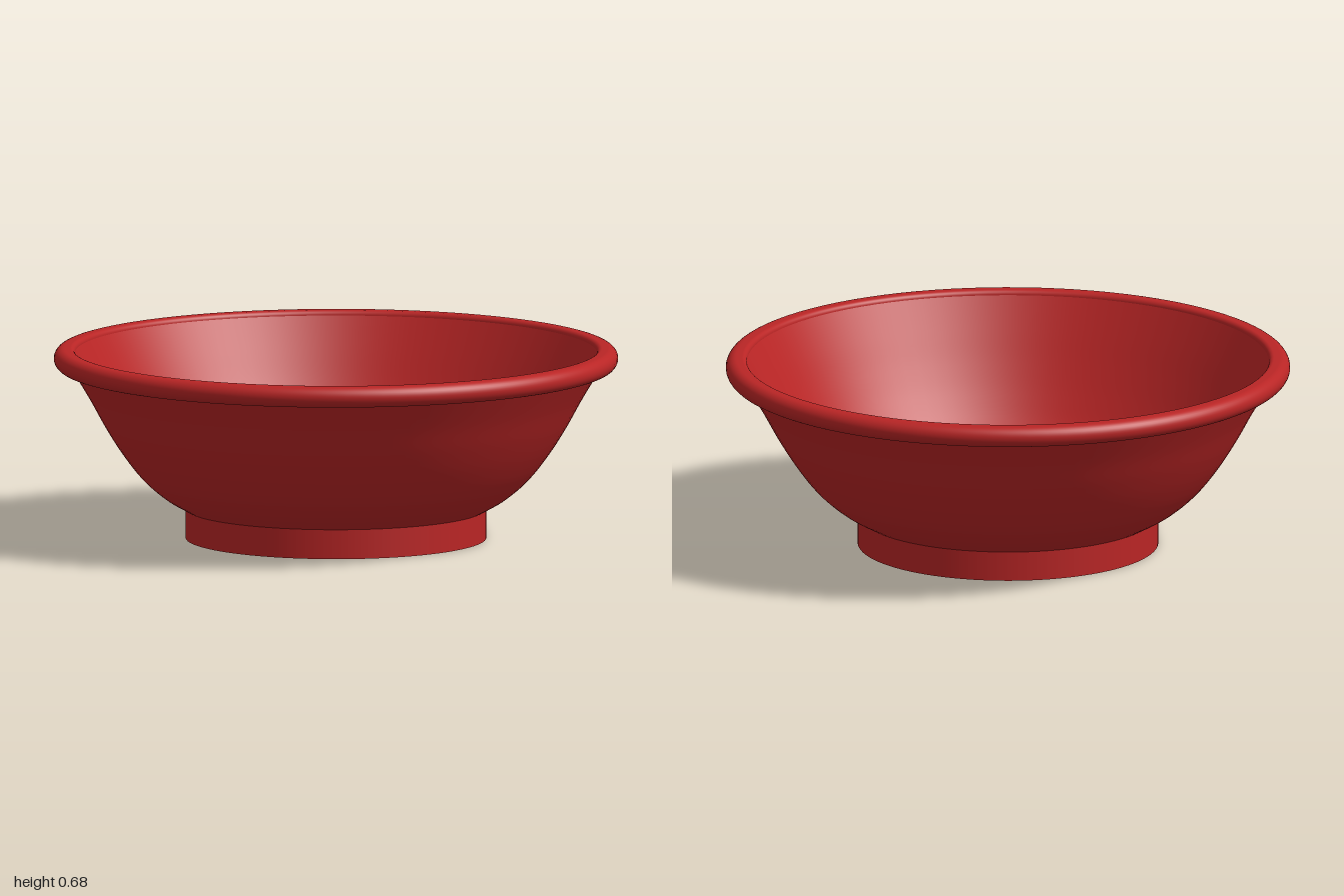
import * as THREE from 'three';

const SEGMENTS = 96;
const v = (x, y) => new THREE.Vector2(x, y);

// Smooth profile through a few [radius, height] points
const smooth = (pts, n) => new THREE.SplineCurve(pts.map(p => v(...p))).getPoints(n);

// Quarter-round corner of the rim
function corner(cx, cy, r, from, to, n = 8) {
  return Array.from({ length: n + 1 }, (_, i) => {
    const a = from + (to - from) * i / n;
    return v(cx + r * Math.cos(a), cy + r * Math.sin(a));
  });
}

export function createModel() {
  const bowl = new THREE.Group();
  bowl.name = 'bowl';
  const red = new THREE.MeshStandardMaterial({ color: 0xb92525 });
  red.name = 'red';

  // Profiles run underside -> outside -> rim -> inside, so faces point outward
  function turn(name, points, parent = bowl) {
    const mesh = new THREE.Mesh(new THREE.LatheGeometry(points, SEGMENTS), red);
    mesh.name = name;
    parent.add(mesh);
  }

  // Foot ring: separate strips keep its edges sharp
  const foot = new THREE.Group();
  foot.name = 'foot';
  bowl.add(foot);
  turn('footRecess', [v(0, 0.04), v(0.395, 0.04)], foot);
  turn('footInnerWall', [v(0.395, 0.04), v(0.413, 0)], foot);
  turn('footBottom', [v(0.413, 0), v(0.533, 0)], foot);
  turn('footOuterWall', [v(0.533, 0), v(0.533, 0.105)], foot);

  // Outer wall
  turn('outerWall', smooth([
    [0.533, 0.105], [0.61, 0.15], [0.69, 0.22], [0.76, 0.31],
    [0.82, 0.405], [0.875, 0.505], [0.935, 0.605],
  ], 32));

  // Rounded rim
  const r = 0.037;
  turn('rim', [
    v(0.925, 0.605),
    ...corner(1 - r, 0.642, r, -Math.PI / 2, Math.PI / 2, 18),
    ...corner(0.943, 0.661, 0.018, Math.PI / 2, Math.PI),
  ]);

  // Inner wall curving into the floor
  turn('inside', smooth([
    [0.925, 0.661], [0.865, 0.55], [0.805, 0.44], [0.745, 0.34],
    [0.68, 0.25], [0.6, 0.175], [0.5, 0.137], [0.35, 0.125], [0, 0.12],
  ], 48));

  return bowl;
}
